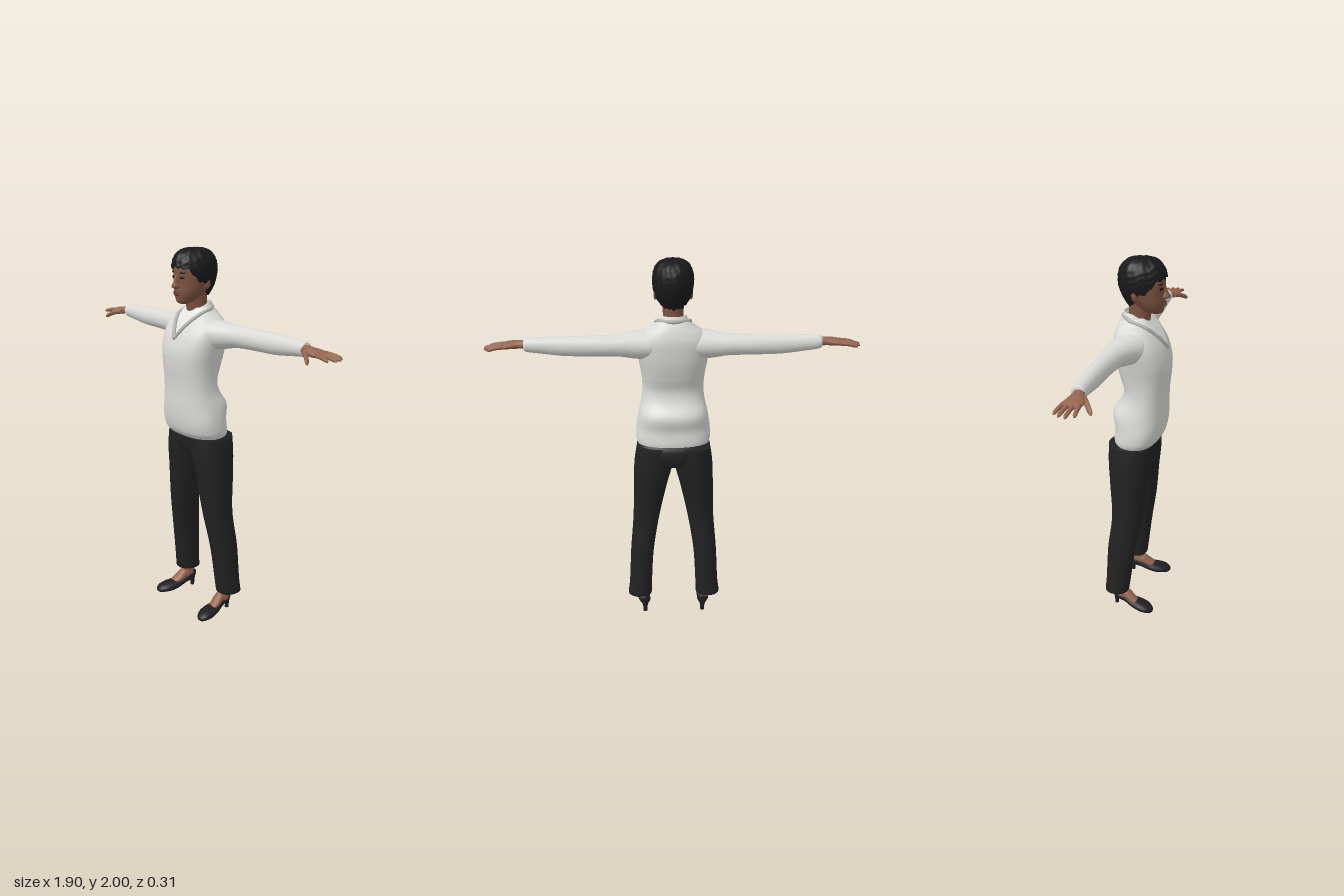
import * as THREE from 'three';

const M = {};
for (const [name, color] of Object.entries({
  sweater: 0xd9d9d7, shirt: 0xe4e4e2, neckTrim: 0xb4b4b0, trousers: 0x212122, shoes: 0x1f1f23,
  hair: 0x19191b, skin: 0x7d5341, limbSkin: 0x966651, lips: 0x683a35, eyes: 0x17110f,
})) M[name] = Object.assign(new THREE.MeshStandardMaterial({ color }), { name });

// A section is [t, u, v, ru, rv, power]; t runs along the axis.
// Axis y: u = x, v = z.  Axis x: u = z, v = y.  Axis z: u = y, v = x.
function sectionAt(secs, t) {
  let i = 0;
  while (i < secs.length - 2 && t > secs[i + 1][0]) i++;
  const a = secs[i], b = secs[i + 1], h = b[0] - a[0], k = (t - a[0]) / h;
  const before = secs[Math.max(i - 1, 0)], after = secs[Math.min(i + 2, secs.length - 1)];
  return [1, 2, 3, 4].map((c) => {
    const m0 = (b[c] - before[c]) / (b[0] - before[0]) * h;
    const m1 = (after[c] - a[c]) / (after[0] - a[0]) * h;
    const k2 = k * k, k3 = k2 * k;
    const v = (2 * k3 - 3 * k2 + 1) * a[c] + (k3 - 2 * k2 + k) * m0 + (3 * k2 - 2 * k3) * b[c] + (k3 - k2) * m1;
    return c > 2 ? Math.max(v, 0.001) : v;
  });
}

// Smooth skin through the sections; pick(centre) may choose a material index per face.
function loft(secs, { axis = 'y', seg = 28, steps = 5, power = 2, caps = true, deform, pick } = {}) {
  const pos = [], faces = [], ts = [];
  for (let i = 0; i < secs.length - 1; i++)
    for (let k = 0; k < steps; k++) ts.push(secs[i][0] + (secs[i + 1][0] - secs[i][0]) * k / steps);
  ts.push(secs.at(-1)[0]);
  const put = (t, u, v) => {
    const p = axis === 'y' ? new THREE.Vector3(u, t, v) : axis === 'x' ? new THREE.Vector3(t, v, u) : new THREE.Vector3(v, u, t);
    if (deform) deform(p);
    pos.push(p.x, p.y, p.z);
  };
  const bend = (c) => Math.sign(c) * Math.abs(c) ** (2 / power);
  for (const t of ts) {
    const [u, v, ru, rv] = sectionAt(secs, t);
    for (let j = 0; j < seg; j++) {
      const a = j / seg * Math.PI * 2;
      put(t, u + ru * bend(Math.cos(a)), v + rv * bend(Math.sin(a)));
    }
  }
  for (let r = 0; r < ts.length - 1; r++)
    for (let j = 0; j < seg; j++) {
      const a = r * seg + j, b = r * seg + (j + 1) % seg;
      faces.push([a, a + seg, b], [a + seg, b + seg, b]);
    }
  if (caps) {
    const n = pos.length / 3, last = (ts.length - 1) * seg, e = secs.at(-1);
    put(secs[0][0], secs[0][1], secs[0][2]);
    put(e[0], e[1], e[2]);
    for (let j = 0; j < seg; j++) {
      const k = (j + 1) % seg;
      faces.push([n, j, k], [n + 1, last + k, last + j]);
    }
  }
  const g = new THREE.BufferGeometry();
  g.setAttribute('position', new THREE.Float32BufferAttribute(pos, 3));
  if (pick) {
    const sets = [[], []];
    const mid = (f, c) => (pos[f[0] * 3 + c] + pos[f[1] * 3 + c] + pos[f[2] * 3 + c]) / 3;
    for (const f of faces) sets[pick(mid(f, 0), mid(f, 1), mid(f, 2))].push(...f);
    g.setIndex([...sets[0], ...sets[1]]);
    g.addGroup(0, sets[0].length, 0);
    g.addGroup(sets[0].length, sets[1].length, 1);
  } else g.setIndex(faces.flat());
  g.computeVertexNormals();
  return g;
}

// Front z of a vertical loft at a given x and y
function frontZ(secs, x, y, power) {
  const [, v, ru, rv] = sectionAt(secs, y);
  return v + rv * Math.max(0, 1 - Math.abs(x / ru) ** power) ** (1 / power);
}

function mirrored(geo) {
  const g = geo.clone().scale(-1, 1, 1), ix = g.index.array;
  for (let i = 0; i < ix.length; i += 3) [ix[i], ix[i + 1]] = [ix[i + 1], ix[i]];
  g.computeVertexNormals();
  return g;
}

// Short pointed hair whose lower edge follows a hairline from fringe to nape
function hairGeometry() {
  const line = [[-1, 1.755], [-0.4, 1.775], [-0.1, 1.815], [0.35, 1.835], [0.65, 1.885], [1, 1.905]];
  const seg = 72, rows = 30, pos = [], idx = [];
  for (let r = 0; r <= rows; r++)
    for (let j = 0; j < seg; j++) {
      const a = j / seg * Math.PI * 2, f = Math.sin(a);
      let i = 0;
      while (i < line.length - 2 && f > line[i + 1][0]) i++;
      const edge = THREE.MathUtils.mapLinear(f, line[i][0], line[i + 1][0], line[i][1], line[i + 1][1]) + 0.006 * Math.sin(a * 17);
      const v = Math.min(r / (rows - 1), 1), y = 1.995 - (1.995 - edge) * v ** 1.5;
      const d = (y - 1.885) / 0.11;
      let s = d > 0 ? Math.max(0, 1 - d ** 2.5) ** (1 / 2.5) : 1 - 0.3 * d * d;
      s *= 1 + 0.022 * Math.sin(a * 13 + y * 90) * Math.sin(y * 130 - a * 5);
      if (r === rows) s *= 0.85;
      pos.push(0.103 * s * Math.cos(a), y + 0.004 * Math.sin(a * 9) * s, 0.006 + 0.123 * s * f);
    }
  for (let r = 0; r < rows; r++)
    for (let j = 0; j < seg; j++) {
      const a = r * seg + j, b = r * seg + (j + 1) % seg;
      idx.push(a, b, a + seg, b, b + seg, a + seg);
    }
  const g = new THREE.BufferGeometry();
  g.setAttribute('position', new THREE.Float32BufferAttribute(pos, 3));
  g.setIndex(idx);
  g.computeVertexNormals();
  return g;
}

export function createModel() {
  const root = new THREE.Group();
  root.name = 'standingWoman';
  const add = (name, geo, mat) => {
    const m = new THREE.Mesh(geo, mat);
    m.name = name;
    root.add(m);
  };
  const pair = (name, geo, mat) => {
    add('left' + name, geo, mat);
    add('right' + name, mirrored(geo), mat);
  };
  const blob = (x, y, z, rx, ry, rz, turn = 0) =>
    new THREE.SphereGeometry(1, 20, 12).scale(rx, ry, rz).rotateY(turn).translate(x, y, z);

  // Sweater body, with the shirt showing in the V neck
  const torso = [
    [1.03, 0, -0.015, 0.188, 0.113], [1.06, 0, -0.005, 0.197, 0.125], [1.12, 0, 0.005, 0.195, 0.13],
    [1.2, 0, 0.002, 0.182, 0.139], [1.27, 0, 0.024, 0.166, 0.117], [1.33, 0, 0.032, 0.161, 0.112],
    [1.4, 0, 0.026, 0.165, 0.126], [1.48, 0, 0.016, 0.178, 0.136], [1.55, 0, 0.002, 0.188, 0.13],
    [1.6, 0, -0.012, 0.183, 0.117], [1.64, 0, -0.022, 0.152, 0.098], [1.67, 0, -0.028, 0.11, 0.08],
    [1.7, 0, -0.03, 0.075, 0.06]];
  const inV = (x, y, z) => (z > -0.02 && y > 1.55 + Math.abs(x) * 1.45 ? 1 : 0);
  add('sweaterBody', loft(torso, { seg: 96, steps: 7, power: 2.4, pick: inV }), [M.sweater, M.shirt]);

  // V neck trim and shirt collar
  const trim = [];
  for (let i = -6; i <= 6; i++) {
    const x = i / 6 * 0.078, y = 1.55 + Math.abs(x) * 1.45;
    trim.push(new THREE.Vector3(x, y, frontZ(torso, x, y, 2.4) + 0.002));
  }
  trim.push(new THREE.Vector3(0.078, 1.695, -0.04), new THREE.Vector3(0, 1.7, -0.09), new THREE.Vector3(-0.078, 1.695, -0.04));
  add('neckTrim', new THREE.TubeGeometry(new THREE.CatmullRomCurve3(trim, true), 90, 0.011, 8, true), M.neckTrim);
  const collarMat = M.shirt;
  collarMat.side = THREE.DoubleSide;
  add('shirtCollar', loft([[1.65, 0, -0.025, 0.088, 0.074], [1.69, 0, -0.026, 0.078, 0.068], [1.725, 0, -0.026, 0.066, 0.06]],
    { caps: false, deform: (p) => { p.y -= Math.max(0, p.z + 0.03) * 0.6; } }), collarMat);

  // Sleeves
  pair('Sleeve', loft([
    [0.1, -0.015, 1.575, 0.1, 0.075], [0.16, -0.025, 1.573, 0.09, 0.074], [0.21, -0.04, 1.574, 0.074, 0.067],
    [0.28, -0.056, 1.577, 0.06, 0.056], [0.4, -0.064, 1.577, 0.05, 0.052], [0.55, -0.065, 1.578, 0.043, 0.049],
    [0.68, -0.064, 1.584, 0.037, 0.04], [0.735, -0.062, 1.586, 0.034, 0.035], [0.748, -0.06, 1.586, 0.03, 0.03]],
  { axis: 'x' }), M.sweater);

  // Hands
  pair('Palm', loft([
    [0.73, -0.058, 1.587, 0.026, 0.022], [0.775, -0.05, 1.586, 0.031, 0.021], [0.82, -0.047, 1.583, 0.044, 0.019],
    [0.855, -0.05, 1.58, 0.044, 0.014], [0.868, -0.05, 1.579, 0.036, 0.008]], { axis: 'x' }), M.limbSkin);
  const digit = (x0, z0, y0, x1, z1, y1, r) => loft([0, 0.12, 0.5, 0.88, 1].map((k) => {
    const w = k === 1 ? 0.3 : 1 - 0.3 * k;
    return [x0 + (x1 - x0) * k, z0 + (z1 - z0) * k, y0 + (y1 - y0) * k * k, r * w, r * w];
  }), { axis: 'x', seg: 12, steps: 3 });
  [[-0.085, 0.925, -0.1], [-0.063, 0.944, -0.073], [-0.04, 0.95, -0.042], [-0.017, 0.93, -0.008]].forEach(([z, x1, z1], i) =>
    pair('Finger' + (i + 1), digit(0.845, z, 1.581, x1, z1, 1.568, 0.0115), M.limbSkin));
  pair('Thumb', digit(0.765, -0.03, 1.582, 0.85, 0.034, 1.548, 0.016), M.limbSkin);

  // Trousers
  add('trouserHips', loft([[0.925, 0, -0.033, 0.13, 0.098], [0.97, 0, -0.033, 0.19, 0.113], [1.02, 0, -0.03, 0.193, 0.113],
    [1.05, 0, -0.02, 0.18, 0.1]], { power: 2.4, seg: 40 }), M.trousers);
  pair('TrouserLeg', loft([
    [0.13, 0.192, -0.087, 0.067, 0.067], [0.2, 0.187, -0.08, 0.063, 0.069], [0.4, 0.175, -0.063, 0.064, 0.077],
    [0.6, 0.15, -0.038, 0.072, 0.083], [0.8, 0.125, -0.035, 0.091, 0.1], [0.93, 0.106, -0.033, 0.104, 0.113],
    [1.03, 0.1, -0.033, 0.095, 0.113]], { power: 2.2, steps: 6, seg: 32 }), M.trousers);

  // Feet and heeled shoes
  pair('Ankle', loft([[0.07, 0.172, -0.062, 0.03, 0.045], [0.11, 0.174, -0.072, 0.031, 0.04], [0.2, 0.18, -0.08, 0.035, 0.04]]), M.limbSkin);
  pair('Instep', loft([[-0.09, 0.085, 0.168, 0.03, 0.027], [-0.04, 0.085, 0.174, 0.034, 0.03], [0, 0.062, 0.181, 0.023, 0.032],
    [0.04, 0.042, 0.188, 0.01, 0.024]], { axis: 'z' }), M.limbSkin);
  pair('Shoe', loft([
    [-0.118, 0.08, 0.164, 0.016, 0.014], [-0.095, 0.073, 0.166, 0.031, 0.03], [-0.04, 0.056, 0.172, 0.026, 0.035],
    [0, 0.04, 0.18, 0.026, 0.042], [0.05, 0.03, 0.189, 0.028, 0.048], [0.09, 0.025, 0.196, 0.023, 0.043],
    [0.115, 0.019, 0.2, 0.016, 0.027], [0.125, 0.017, 0.201, 0.007, 0.012]], { axis: 'z' }), M.shoes);
  pair('ShoeHeel', loft([[0, 0.165, -0.1, 0.011, 0.011], [0.03, 0.165, -0.1, 0.013, 0.012], [0.07, 0.166, -0.09, 0.026, 0.028]]), M.shoes);

  // Neck, head and ears
  add('neck', loft([[1.6, 0, -0.02, 0.06, 0.055], [1.7, 0, -0.008, 0.052, 0.055], [1.79, 0, -0.002, 0.055, 0.062]]), M.skin);
  const head = [
    [1.72, 0, 0.072, 0.018, 0.022], [1.728, 0, 0.066, 0.036, 0.043], [1.75, 0, 0.048, 0.056, 0.067],
    [1.78, 0, 0.034, 0.073, 0.086], [1.815, 0, 0.018, 0.084, 0.1], [1.86, 0, 0.009, 0.09, 0.111],
    [1.92, 0, 0.003, 0.087, 0.112], [1.965, 0, 0, 0.06, 0.08], [1.978, 0, 0, 0.02, 0.03]];
  add('head', loft(head, { seg: 40 }), M.skin);
  pair('Ear', blob(0.089, 1.823, -0.008, 0.009, 0.028, 0.017, -0.3), M.skin);
  add('nose', loft([[1.796, 0, 0.113, 0.012, 0.012], [1.806, 0, 0.117, 0.021, 0.029], [1.83, 0, 0.114, 0.012, 0.023],
    [1.87, 0, 0.108, 0.008, 0.012]], { seg: 20 }), M.skin);

  // Eyes, brows and lips
  pair('Eye', blob(0.037, 1.853, frontZ(head, 0.037, 1.853, 2), 0.016, 0.007, 0.004, 0.35), M.eyes);
  pair('Brow', blob(0.039, 1.876, frontZ(head, 0.039, 1.876, 2), 0.02, 0.004, 0.004, 0.35), M.hair);
  add('upperLip', blob(0, 1.778, frontZ(head, 0, 1.778, 2), 0.026, 0.006, 0.008), M.lips);
  add('lowerLip', blob(0, 1.768, frontZ(head, 0, 1.768, 2), 0.022, 0.007, 0.008), M.lips);

  add('hair', hairGeometry(), M.hair);
  return root;
}
